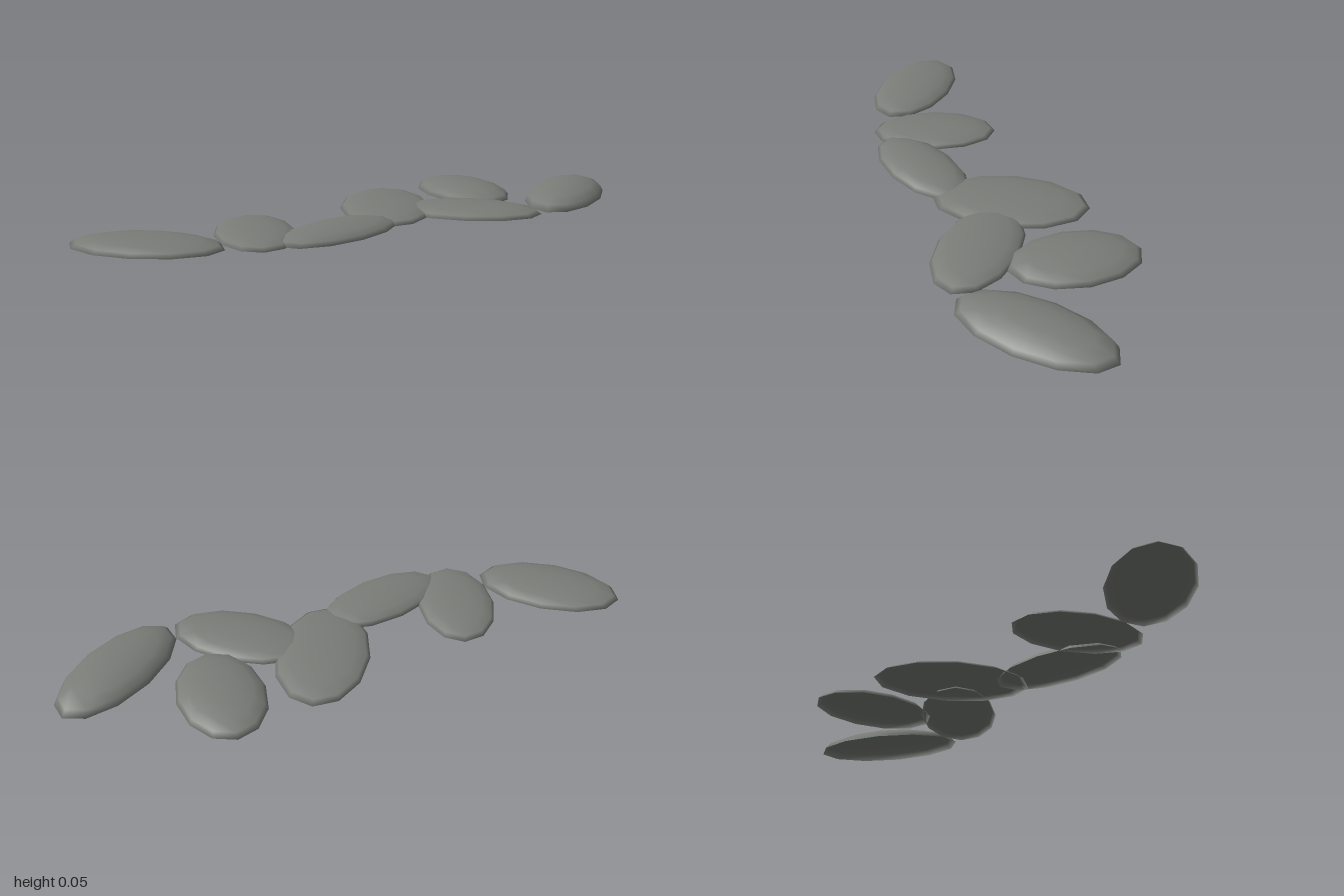
import * as THREE from 'three';

// Each stone: centre x, z; half length, half width, height; heading in degrees (from +x towards +z)
const STONES = [
  [-0.795, -0.05, 0.255, 0.14, 0.036, 43],
  [-0.44, 0.002, 0.225, 0.136, 0.03, -69],
  [-0.21, 0.135, 0.247, 0.12, 0.036, -11],
  [0.112, -0.065, 0.27, 0.162, 0.03, -59],
  [0.325, 0.14, 0.25, 0.137, 0.034, 42],
  [0.495, -0.12, 0.224, 0.148, 0.041, -83],
  [0.765, 0.143, 0.275, 0.132, 0.055, -35],
];

export function createModel() {
  const group = new THREE.Group();
  group.name = 'steppingStones';
  const stoneGrey = new THREE.MeshStandardMaterial({ color: 0x797c77, side: THREE.DoubleSide });
  stoneGrey.name = 'stoneGrey';

  // Shallow twelve-sided dome, open underneath
  STONES.forEach(([x, z, length, width, height, heading], i) => {
    const dome = new THREE.SphereGeometry(1, 12, 4, 0, Math.PI * 2, 0, Math.PI / 2);
    dome.scale(length, height, width);
    const stone = new THREE.Mesh(dome, stoneGrey);
    stone.name = `stone${i + 1}`;
    stone.position.set(x, 0, z);
    stone.rotation.y = -THREE.MathUtils.degToRad(heading);
    group.add(stone);
  });
  return group;
}
